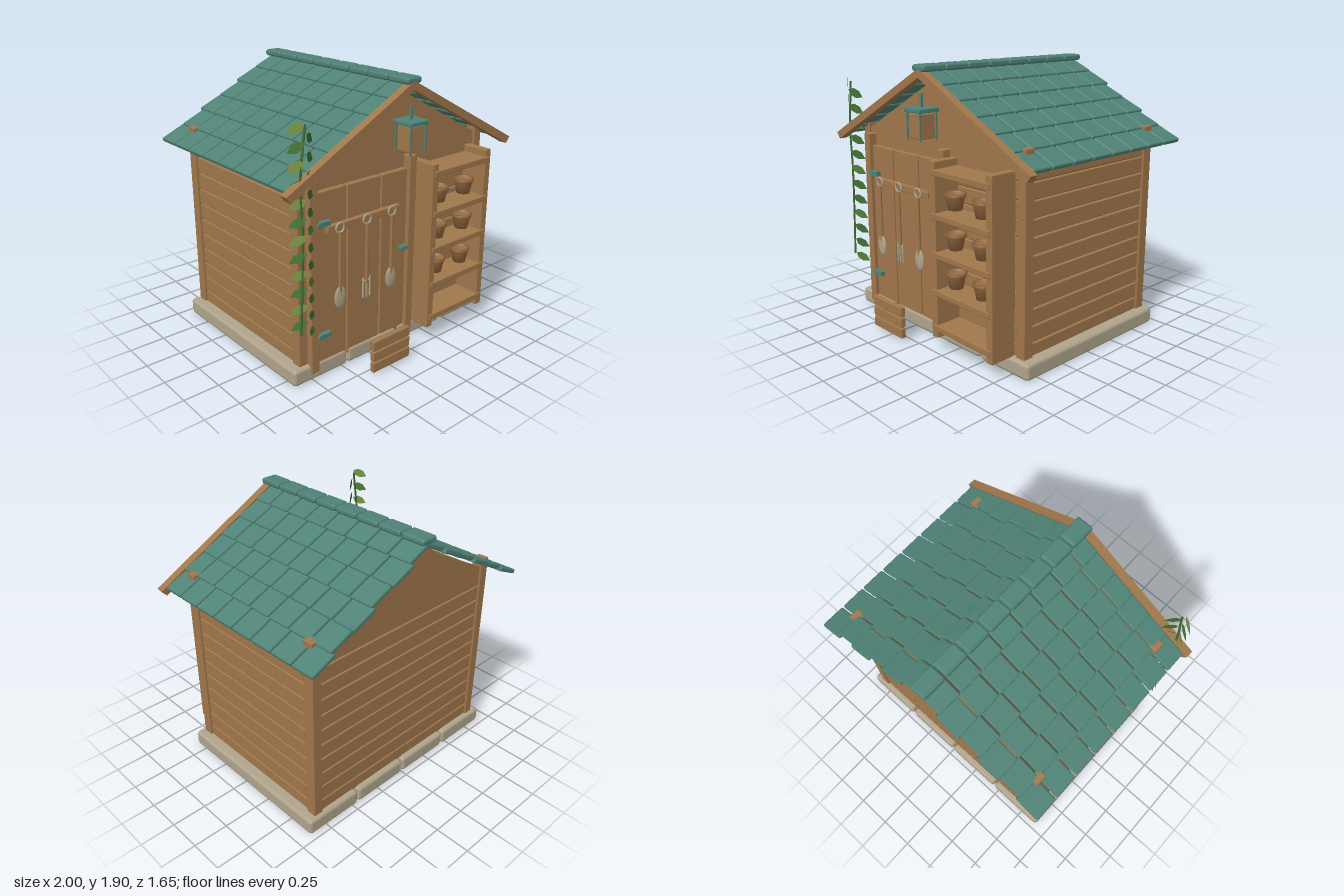
import * as THREE from 'three';
import { RoundedBoxGeometry } from 'three/addons/geometries/RoundedBoxGeometry.js';

const mat = (name, color, side = THREE.FrontSide) => {
  const m = new THREE.MeshStandardMaterial({ color, side });
  m.name = name;
  return m;
};

export function createModel() {
  const model = new THREE.Group();
  model.name = 'gardenShed';
  const wood = mat('wood', 0xa0774b);
  const darkWood = mat('dark wood', 0x5e4229);
  const teal = mat('teal', 0x4f8276);
  const stone = mat('stone', 0xb0a48c);
  const clay = mat('clay', 0x94683f, THREE.DoubleSide);
  const leaves = [
    mat('mid green', 0x4f8038, THREE.DoubleSide),
    mat('light green', 0x7d9c48, THREE.DoubleSide),
    mat('dark green', 0x427032, THREE.DoubleSide),
  ];

  const add = (name, geometry, material, x = 0, y = 0, z = 0, parent = model) => {
    const mesh = new THREE.Mesh(geometry, material);
    mesh.name = name;
    mesh.position.set(x, y, z);
    parent.add(mesh);
    return mesh;
  };
  const group = (name) => {
    const g = new THREE.Group();
    g.name = name;
    model.add(g);
    return g;
  };
  // Softly rounded box given by its limits on each axis
  const block = (name, material, [x0, x1], [y0, y1], [z0, z1], parent = model, r = 0.006) =>
    add(name, new RoundedBoxGeometry(x1 - x0, y1 - y0, z1 - z0, 1, r), material,
      (x0 + x1) / 2, (y0 + y1) / 2, (z0 + z1) / 2, parent);
  const slab = (name, points, depth, material, z, parent = model) =>
    add(name, new THREE.ExtrudeGeometry(
      new THREE.Shape(points.map(([x, y]) => new THREE.Vector2(x, y))),
      { depth, bevelEnabled: false }), material, 0, 0, z, parent);

  // Foundation
  const base = group('foundation');
  for (let i = 0; i < 4; i++) {
    const x = -0.9 + i * 0.452;
    block('foundationSlab', stone, [x, x + 0.442], [0.005, 0.12], [-0.71, 0.6], base, 0.025);
  }

  // Walls: dark core seen in the joints, planks and corner posts
  const walls = group('walls');
  add('wallCore', new THREE.BoxGeometry(1.59, 1.26, 1.18), darkWood, 0, 0.74, -0.06, walls);
  for (let i = 0; i < 11; i++) {
    const top = 0.205 + i * 0.1165;
    const y = [Math.max(0.11, top - 0.111), top - 0.004];
    for (const s of [-1, 1]) {
      block('sidePlank', wood, s < 0 ? [-0.82, -0.78] : [0.78, 0.82], y, [-0.62, 0.51], walls);
    }
    block('backPlank', wood, [-0.79, 0.79], y, [-0.668, -0.63], walls);
    block('frontPlank', wood, [-0.79, 0.79], y, [0.51, 0.552], walls);
  }
  const gable = [[-0.8, 1.36], [0.8, 1.36], [0.8, 1.385], [0, 1.815], [-0.8, 1.385]];
  slab('backGable', gable, 0.035, wood, -0.668, walls);
  slab('frontGable', gable, 0.035, wood, 0.517, walls);
  block('doorLintel', wood, [-0.76, 0.76], [1.262, 1.37], [0.515, 0.553], walls);
  for (const x of [[-0.835, -0.765], [0.765, 0.835]]) {
    block('cornerPost', wood, x, [0.1, 1.463], [0.49, 0.568], walls);
    block('cornerPost', wood, x, [0.1, 1.463], [-0.682, -0.602], walls);
  }

  // Door with frame, hinges and latch
  const door = group('door');
  for (const x of [[-0.705, -0.463], [-0.452, -0.172], [-0.161, 0.068]]) {
    block('doorPlank', wood, x, [0.08, 1.28], [0.55, 0.59], door);
  }
  for (const x of [-0.77, 0.07]) {
    block('doorPost', wood, [x, x + 0.062], [0.06, 1.365], [0.545, 0.615], door);
  }
  for (const y of [1.08, 0.308]) {
    slab('hinge', [[-0.725, y], [-0.705, y - 0.016], [-0.615, y - 0.016], [-0.615, y + 0.016],
      [-0.705, y + 0.016]], 0.04, teal, 0.585, door);
  }
  block('latch', teal, [-0.005, 0.063], [0.712, 0.74], [0.585, 0.63], door);

  // Hanging tools
  const tools = group('tools');
  block('toolRail', wood, [-0.64, -0.022], [1.008, 1.057], [0.588, 0.625], tools);
  [-0.557, -0.332, -0.113].forEach((x, i) => {
    add('toolRing', new THREE.TorusGeometry(0.032, 0.007, 6, 20), stone, x, 1.037, 0.64, tools);
    add('toolHandle', new THREE.CylinderGeometry(0.01, 0.012, 0.42, 10), wood, x, 0.8, 0.64, tools);
    if (i === 1) {
      for (const dx of [-0.03, 0, 0.03]) {
        block('forkProng', stone, [x + dx - 0.005, x + dx + 0.005], [0.485, 0.63], [0.635, 0.647],
          tools, 0.003);
      }
      block('forkBar', stone, [x - 0.033, x + 0.033], [0.598, 0.612], [0.635, 0.647], tools, 0.003);
    } else {
      add('spadeBlade', new THREE.SphereGeometry(1, 18, 12), stone, x, 0.56, 0.64, tools)
        .scale.set(0.047, 0.077, 0.012);
    }
  });

  // Shelf rack with flower pots
  const rack = group('shelfRack');
  for (const x of [0.15, 0.68]) {
    block('rackSide', wood, [x, x + 0.056], [0.115, 1.32], [0.55, 0.748], rack);
  }
  for (const y of [0.188, 0.438, 0.7, 0.962, 1.25]) {
    block('shelf', wood, [0.167, 0.72], [y - 0.021, y + 0.021], [0.55, 0.757], rack);
  }
  const potProfile = [[0, 0], [0.046, 0], [0.062, 0.085], [0.07, 0.085], [0.072, 0.107],
    [0.06, 0.107], [0.056, 0.085], [0, 0.085]].map(([x, y]) => new THREE.Vector2(x, y));
  const potGeometry = new THREE.LatheGeometry(potProfile, 20);
  for (const y of [0.483, 0.748, 1.013]) {
    for (const x of [0.305, 0.565]) add('flowerPot', potGeometry, clay, x, y, 0.66, rack);
  }

  // Roof: staggered tiles, ridge caps and front bargeboard
  const roof = group('roof');
  const slope = Math.atan(0.53);
  for (const s of [-1, 1]) {
    for (let row = 0; row < 6; row++) {
      const x = 0.075 + row * 0.16;
      for (let col = 0; col < 8; col++) {
        const z0 = -0.829 + col * 0.187 + (row % 2 ? 0 : 0.02);
        const z1 = Math.min(z0 + 0.177, 0.642);
        const tile = add('roofTile', new RoundedBoxGeometry(0.192, 0.032, z1 - z0, 1, 0.01), teal,
          s * x, 1.859 - 0.53 * x, (z0 + z1) / 2, roof);
        tile.rotation.z = -s * (slope - 0.07);
      }
    }
  }
  for (let i = 0; i < 8; i++) {
    const z = 0.702 - i * 0.191;
    block('ridgeCap', teal, [-0.064, 0.064], [1.862, 1.908], [z - 0.185, z], roof, 0.018);
  }
  slab('bargeboard', [[0, 1.825], [0.968, 1.308], [1, 1.352], [0, 1.882], [-1, 1.352],
    [-0.968, 1.308]], 0.06, wood, 0.64, roof);

  // Lantern under the gable
  const lantern = group('lantern');
  block('lanternBody', wood, [-0.06, 0.06], [1.435, 1.6], [0.615, 0.735], lantern);
  block('lanternCap', teal, [-0.082, 0.082], [1.607, 1.637], [0.593, 0.757], lantern);
  for (const x of [-0.066, 0.066]) {
    for (const z of [0.609, 0.741]) {
      add('lanternBar', new THREE.BoxGeometry(0.01, 0.19, 0.01), teal, x, 1.517, z, lantern);
    }
  }
  add('lanternHanger', new THREE.BoxGeometry(0.016, 0.09, 0.016), teal, 0, 1.678, 0.675, lantern);

  // Slatted boards before the door
  const step = group('frontStep');
  for (let i = 0; i < 3; i++) {
    const y = 0.028 + i * 0.079;
    block('stepBoard', wood, [-0.425, -0.097], [y, y + 0.071], [0.787, 0.824], step);
  }

  // Climbing vine: leaf pairs swept back from the stem
  const vine = group('vine');
  const stem = new THREE.CatmullRomCurve3([[-0.89, 0.42], [-0.875, 0.75], [-0.865, 1.1],
    [-0.875, 1.4], [-0.835, 1.74]].map(([x, y]) => new THREE.Vector3(x, y, 0.665)));
  add('vineStem', new THREE.TubeGeometry(stem, 30, 0.008, 6), leaves[2], 0, 0, 0, vine);
  const leafShape = new THREE.Shape([[0, 0], [0.03, 0.027], [0.075, 0.029], [0.122, 0],
    [0.075, -0.029], [0.03, -0.027]].map(([x, y]) => new THREE.Vector2(x, y)));
  const leafGeometry = new THREE.ShapeGeometry(leafShape);
  for (let i = 0; i < 12; i++) {
    for (const s of [-1, 1]) {
      const y = (s > 0 ? 0.44 : 0.51) + i * 0.113;
      const leaf = add('leaf', leafGeometry, leaves[s > 0 ? (i % 3 ? 2 : 0) : i % 2],
        -0.845 + s * 0.005, y, 0.685, vine);
      leaf.rotation.set(0, s > 0 ? 0.6 : Math.PI - 0.6, -0.5);
    }
  }
  return model;
}
